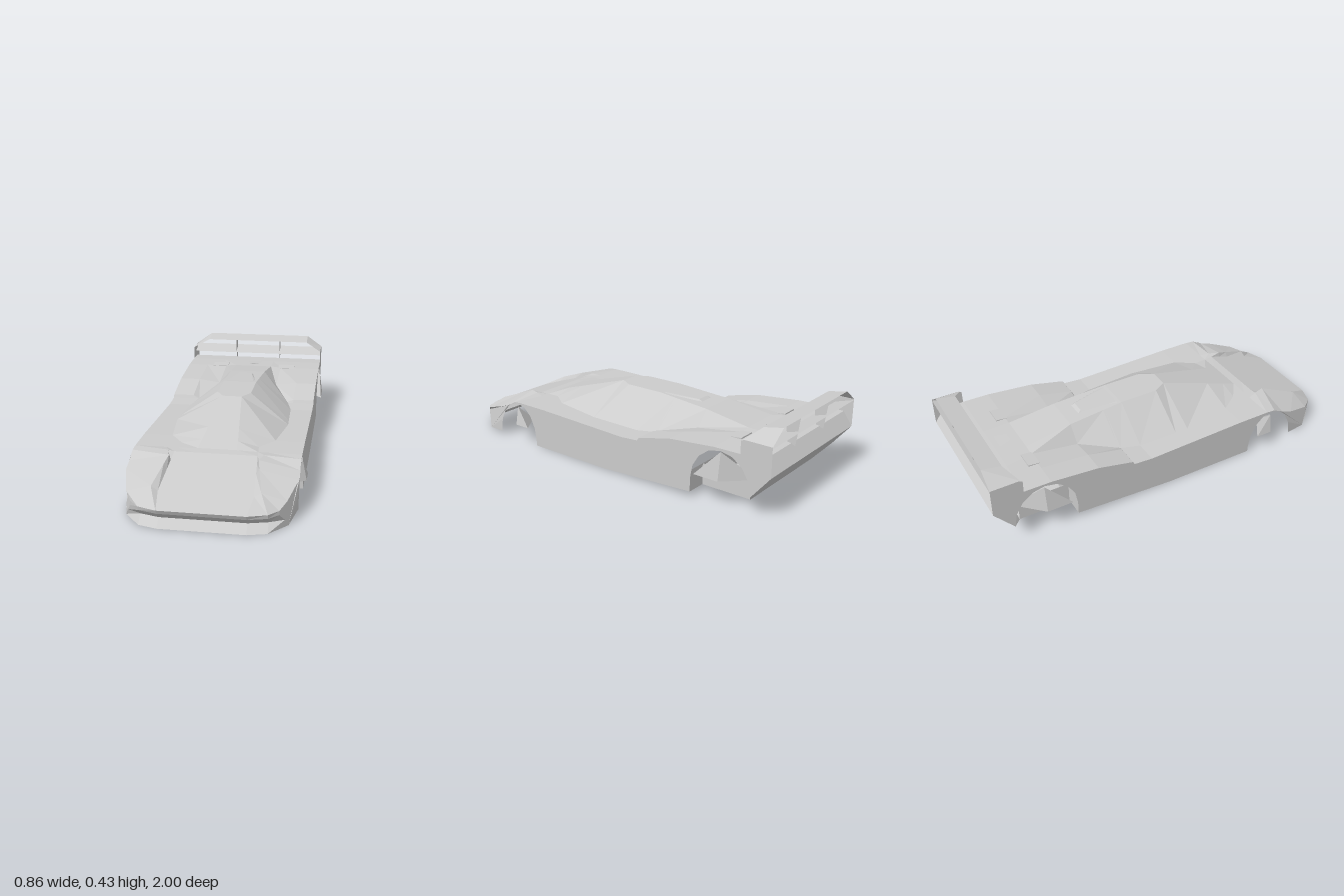
import * as THREE from 'three';

const mat = new THREE.MeshStandardMaterial({ color: 0xcccccc, flatShading: true, side: THREE.DoubleSide });

function addMesh(group, name, geometry) {
  const geo = geometry.index ? geometry.toNonIndexed() : geometry;
  geo.computeVertexNormals();
  const mesh = new THREE.Mesh(geo, mat);
  mesh.name = name;
  group.add(mesh);
  return mesh;
}

// Sheet through rows of [x, y, z] points
function sheet(rows) {
  const pos = [];
  for (let i = 0; i < rows.length - 1; i++) {
    for (let j = 0; j < rows[i].length - 1; j++) {
      const a = rows[i][j], b = rows[i][j + 1], c = rows[i + 1][j + 1], d = rows[i + 1][j];
      pos.push(...a, ...d, ...b, ...b, ...d, ...c);
    }
  }
  const geo = new THREE.BufferGeometry();
  geo.setAttribute('position', new THREE.Float32BufferAttribute(pos, 3));
  return geo;
}

// Half section from the centre line outward, mirrored into a full row
const full = half => [...half.slice(1).reverse().map(([x, y, z]) => [-x, y, z]), ...half];

// Value at z on a line of [z, value] points running from front to back
function along(line, z) {
  if (z >= line[0][0]) return line[0][1];
  const i = line.findIndex(p => p[0] <= z);
  if (i < 0) return line[line.length - 1][1];
  const [z0, v0] = line[i - 1], [z1, v1] = line[i];
  return v0 + (v1 - v0) * (z - z0) / (z1 - z0);
}

// Panel drawn in (z, y), set at x = widthAt(z)
function sidePanel(points, side, widthAt) {
  const geo = new THREE.ShapeGeometry(new THREE.Shape(points.map(p => new THREE.Vector2(...p))));
  const p = geo.attributes.position;
  for (let i = 0; i < p.count; i++) {
    const z = p.getX(i);
    p.setXYZ(i, side * widthAt(z), p.getY(i), z);
  }
  return geo;
}

// Guide lines of the body
const tail = [[-0.84, 0.295], [-0.95, 0.29], [-1, 0.22]];
const spineY = [[1, 0.09], [0.62, 0.222], [0.57, 0.225], [0.13, 0.355], [-0.15, 0.355], [-0.45, 0.333], [-0.7, 0.298], ...tail];
const shoulderY = [[1, 0.09], [0.62, 0.222], [0.4, 0.221], [-0.15, 0.203], [-0.25, 0.21], [-0.45, 0.27], [-0.7, 0.293], ...tail];
const spineX = [[0.62, 0.1], [0.13, 0.05], [0.06, 0.09], [-0.15, 0.09], [-0.7, 0.11]];
const canopyX = [[1, 0.2], [0.88, 0.218], [0.62, 0.2], [0.5, 0.19], [0.4, 0.26], [0.13, 0.297], [-0.15, 0.285], [-0.25, 0.26], [-0.45, 0.17], [-0.7, 0.17], [-0.84, 0.2]];
const crestX = [[1, 0.29], [0.88, 0.25], [0.68, 0.212], [0.4, 0.3], [0.06, 0.32], [-0.25, 0.29]];
const frontBulge = [[1, 0], [0.88, 0.02], [0.68, 0.025], [0.6, 0]];
const intakeStep = [[-0.25, 0], [-0.26, 0.014], [-0.45, 0]];
const channelDip = [[-0.25, 0], [-0.45, 0.016], [-0.7, 0]];
const plan = [[1, 0.2], [0.92, 0.335], [0.86, 0.38], [0.74, 0.405]];
const bodyWidth = z => along(plan, z);

// Half section of the upper shell; the nose corners sweep back
function section(z) {
  const sweep = Math.max(0, (z - 0.88) / 0.12), edgeZ = z - 0.08 * sweep;
  const spine = along(spineY, z), shoulder = along(shoulderY, z);
  const bulge = along(frontBulge, z), step = along(intakeStep, z);
  return [
    [0, spine, z],
    [along(spineX, z), spine, z],
    [along(canopyX, z), shoulder - along(channelDip, z), z],
    [along(crestX, z), shoulder + bulge + step, z - 0.03 * sweep],
    [bodyWidth(edgeZ), shoulder - 0.6 * bulge + step, edgeZ],
  ];
}

// Wheel arch from front to back in (z, y)
function arch(z, y, radius, height) {
  return Array.from({ length: 9 }, (_, i) => {
    const a = Math.PI * i / 8;
    return [z + radius * Math.cos(a), y + height * Math.sin(a)];
  });
}

export function createModel() {
  const car = new THREE.Group();
  car.name = 'raceCarBody';

  // Upper shell: hood, fenders, canopy, spine and rear deck
  const top = [1, 0.88, 0.74, 0.68, 0.62, 0.57, 0.5, 0.4, 0.13, 0.06, -0.15, -0.25, -0.26, -0.45, -0.7, -0.84, -0.95, -1].map(section);
  addMesh(car, 'upperShell', sheet(top.map(full)));

  // Nose: lip, recessed intake and splitter
  const nose = [[0.99, 0.07, 0.92], [0.95, 0.035, 0.89], [0.995, 0, 0.87]].map(([z, y, edgeZ]) => [
    ...[0, 0.1, 0.2].map(x => [x, y, z]), [0.29, y, z - 0.025], [bodyWidth(edgeZ), y, edgeZ],
  ]);
  addMesh(car, 'nose', sheet([top[0], ...nose].map(full)));

  // Rear bumper and the floor box between the rear wheels
  addMesh(car, 'rearBumper', sheet([[-1, 0.22, 0.405], [-0.9, 0.1, 0.405], [-0.84, 0.03, 0.3]].map(
    ([z, y, x]) => full([[0, y, z], [0.2, y, z], [x, y, z]]))));
  addMesh(car, 'rearFloor', sheet([-0.84, -0.57].map(
    z => full([[0, 0.03, z], [0.3, 0.03, z], [0.3, 0.14, z]]))));

  // Bulkheads behind the front wheels and ahead of the rear ones
  for (const [name, z, y0, y1] of [['frontBulkhead', 0.46, 0, 0.2], ['rearBulkhead', -0.57, 0.03, 0.14]]) {
    addMesh(car, name, sheet([y0, y1].map(y => [[-0.405, y, z], [0.405, y, z]])));
  }

  // Side outline with both wheel arches cut in
  const outline = [
    ...top.map(s => [s[4][2], s[4][1]]).reverse(),
    ...nose.map(s => [s[4][2], s[4][1]]),
    ...arch(0.6, 0.02, 0.14, 0.198), [0.46, 0],
    [-0.04, 0], [-0.57, 0.03], ...arch(-0.735, 0.1, 0.165, 0.182),
  ];
  const endplate = [[-0.84, 0.29], [-0.84, 0.36], [-0.86, 0.367], [-1, 0.367], [-1, 0.22]];
  const strut = [[-0.91, 0.41], [-0.99, 0.428], [-0.97, 0.28], [-0.93, 0.29]];

  for (const s of [1, -1]) {
    const label = s > 0 ? 'left' : 'right';
    addMesh(car, label + 'Side', sidePanel(outline, s, bodyWidth));
    addMesh(car, label + 'Endplate', sidePanel(endplate, s, () => 0.405));
    addMesh(car, label + 'WingStrut', sidePanel(strut, s, () => 0.14));

    // Angular wheel hubs, flared outward on one half
    for (const [name, z, y, h, r] of [['FrontHub', 0.59, 0.1, 0.1, -0.09], ['RearHub', -0.74, 0.14, 0.14, 0.135]]) {
      const peak = [s * 0.41, y + h, z];
      const base = [[0.43, r], [0.43, 0], [0.3, -r], [0.3, 0], [0.43, r]].map(([x, dz]) => [s * x, y, z + dz]);
      addMesh(car, label + name, sheet([base, base.map(() => peak)]));
    }

    // Deck vents
    const vent = addMesh(car, label + 'DeckVent', new THREE.BoxGeometry(0.095, 0.008, 0.06));
    vent.position.set(s * 0.205, 0.293, -0.72);
    vent.rotation.x = 0.1;
  }
  addMesh(car, 'centreDeckVent', sheet([[0.045, 0.298, -0.81], [0.025, 0.301, -0.75], [0.025, 0.285, -0.75]].map(
    ([x, y, z]) => [[-x, y, z], [x, y, z]])));

  // Roof scoop behind the canopy
  addMesh(car, 'roofScoop', sheet([[-0.17, 0.085, 0.352, 0.355], [-0.36, 0.05, 0.335, 0.347], [-0.385, 0.05, 0.333, 0.335]].map(
    ([z, x, y0, y1]) => full([[0, y1, z], [x - 0.015, y1, z], [x, y0, z]]))));

  // Upper wing with drooped tips, and the lower blade
  addMesh(car, 'upperWing', sheet([[-1, 0.43, -1], [-0.9, 0.41, -0.85]].map(
    ([z, y, tipZ]) => full([[0, y, z], [0.315, y, z], [0.405, 0.366, tipZ]]))));
  addMesh(car, 'lowerWing', sheet([[-1, 0.36], [-0.9, 0.33]].map(
    ([z, y]) => [[-0.405, y, z], [0.405, y, z]])));

  return car;
}
